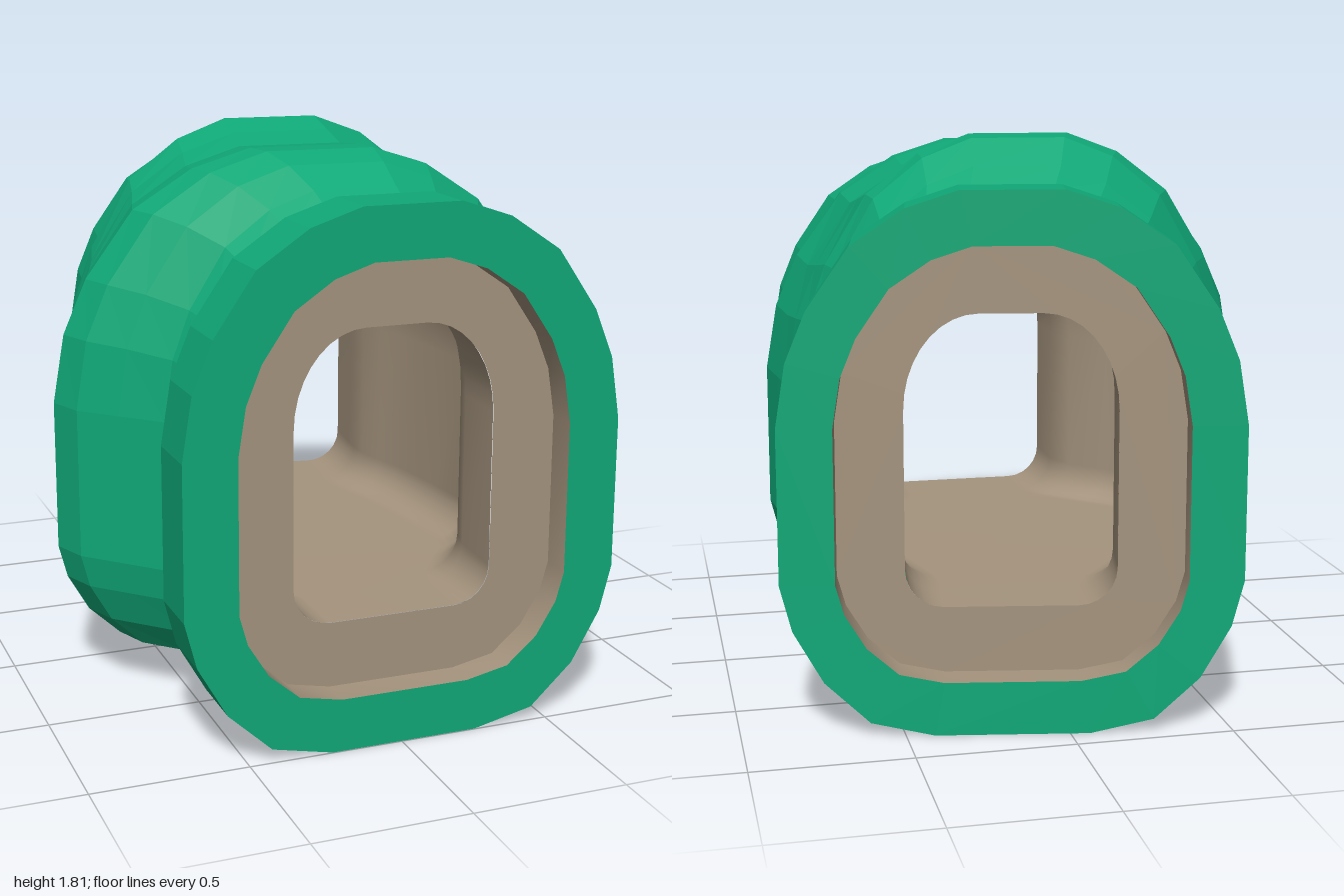
import * as THREE from 'three';
import { toCreasedNormals } from 'three/addons/utils/BufferGeometryUtils.js';

// Mirror a right-hand half outline (bottom to top) into a closed loop
const mirror = (half) => [...half, ...half.slice().reverse().map(([x, y]) => [-x, y])];

// Faceted arch outline: tight corners below, tall shoulders above
function archOutline(hw, bottom, top, corner) {
  const low = [[1, 0], [0.58, 0.09], [0.28, 0.36], [0.08, 0.7], [0, 1]];
  const high = [[1, 0], [0.955, 0.28], [0.865, 0.5], [0.68, 0.77], [0.45, 0.925], [0.22, 1]];
  return mirror([
    ...low.map(([d, s]) => [hw - corner * d, bottom + (0.485 - bottom) * s]),
    ...high.map(([u, t]) => [hw * u, 0.97 + (top - 0.97) * t]),
  ]);
}

// Smooth rounded outline for the passage
function holeOutline(hw, bottom, top) {
  const half = [];
  const r = 0.12, rx = hw * 0.7, ry = top - 1;
  for (let i = 0; i <= 6; i++) {
    const a = (i / 6) * Math.PI / 2;
    half.push([hw - r + r * Math.sin(a), bottom + r - r * Math.cos(a)]);
  }
  for (let i = 0; i <= 9; i++) {
    const a = (i / 9) * Math.PI / 2;
    half.push([hw - rx + rx * Math.cos(a), 1 + ry * Math.sin(a)]);
  }
  return mirror(half);
}

// Skin between closed rings running from +z to -z
function loft(rings, inward = false) {
  const n = rings[0].length, index = [];
  for (let i = 0; i < rings.length - 1; i++) {
    for (let j = 0; j < n; j++) {
      const a = i * n + j, b = i * n + (j + 1) % n, c = a + n, d = b + n;
      if (inward) index.push(a, b, c, b, d, c);
      else index.push(a, c, b, b, c, d);
    }
  }
  const geo = new THREE.BufferGeometry();
  geo.setAttribute('position', new THREE.Float32BufferAttribute(rings.flat(2), 3));
  geo.setIndex(index);
  geo.computeVertexNormals();
  return geo;
}

const atZ = (outline, z) => outline.map(([x, y]) => [x, y, z]);

// Place an outline in the upright plane through a left and a right point
function place(outline, [x0, z0, x1, z1]) {
  const len = Math.hypot(x1 - x0, z1 - z0);
  const cx = (x0 + x1) / 2, cz = (z0 + z1) / 2;
  return outline.map(([x, y]) => [cx + x * (x1 - x0) / len, y, cz + x * (z1 - z0) / len]);
}

const halfWidth = ([x0, z0, x1, z1]) => Math.hypot(x1 - x0, z1 - z0) / 2;

// Cross-sections of the bent body: x and z at one side, x and z at the other, top height
const SECTIONS = [
  [-0.57, 0.82, 0.59, 0.82, 1.57],
  [-0.57, 0.67, 0.60, 0.68, 1.60],
  [-0.615, 0.55, 0.63, 0.59, 1.665],
  [-0.73, 0.43, 0.71, 0.48, 1.73],
  [-0.835, 0.32, 0.78, 0.40, 1.765],
  [-0.88, 0.20, 0.805, 0.31, 1.765],
  [-0.81, 0.00, 0.785, 0.09, 1.745],
  [-0.765, -0.12, 0.77, -0.05, 1.775],
  [-0.73, -0.24, 0.75, -0.18, 1.81],
  [-0.66, -0.35, 0.725, -0.27, 1.80],
  [-0.58, -0.46, 0.70, -0.38, 1.715],
  [-0.51, -0.55, 0.70, -0.46, 1.65],
  [-0.46, -0.65, 0.71, -0.53, 1.61],
  [-0.425, -0.82, 0.72, -0.62, 1.57],
];

export function createModel() {
  const green = new THREE.MeshStandardMaterial({ color: 0x10a877 });
  green.name = 'shellGreen';
  green.flatShading = true;
  const tan = new THREE.MeshStandardMaterial({ color: 0xa5947e });
  tan.name = 'liningTan';

  const model = new THREE.Group();
  model.name = 'bentTunnelSection';
  const add = (parent, name, geo, mat) => {
    const mesh = new THREE.Mesh(geo, mat);
    mesh.name = name;
    parent.add(mesh);
  };

  // Faceted outer body
  const bodyRings = SECTIONS.map((s) => place(archOutline(halfWidth(s), 0.13, s[4], 0.34), s));
  add(model, 'outerBody', loft(bodyRings), green);

  // Smooth passage, a constant wall thickness inside the body
  const passage = [
    [-0.57, 0.89, 0.59, 0.89, 1.57],
    ...SECTIONS.slice(1, -1),
    [-0.414, -0.878, 0.728, -0.676, 1.57],
  ];
  const passageRings = passage.map((s) =>
    place(holeOutline(halfWidth(s) - 0.25, 0.38, s[4] - 0.27), s));
  add(model, 'passageLining', loft(passageRings, true), tan);

  // End collars with a recessed face around the passage
  const outer = archOutline(0.71, 0, 1.68, 0.47);
  const opening = archOutline(0.54, 0.17, 1.515, 0.33);
  const inner = archOutline(0.5, 0.25, 1.45, 0.3);
  const toPoints = (o) => o.map(([x, y]) => new THREE.Vector2(x, y));

  function collar(name) {
    const group = new THREE.Group();
    group.name = name;
    const rim = loft([atZ(opening, 0.205), atZ(outer, 0.205), atZ(outer, 0), atZ(inner, 0)]);
    add(group, 'collarRim', rim, green);

    const wall = loft([atZ(opening, 0.205), atZ(opening, 0.1)], true);
    add(group, 'recessWall', toCreasedNormals(wall, 0.6), tan);

    const face = new THREE.Shape(toPoints(opening));
    face.holes.push(new THREE.Path(toPoints(holeOutline(0.33, 0.38, 1.3))));
    const faceGeo = new THREE.ShapeGeometry(face);
    faceGeo.translate(0, 0, 0.1);
    add(group, 'recessFace', faceGeo, tan);

    model.add(group);
    return group;
  }

  collar('frontCollar').position.set(0.01, 0, 0.793);

  const back = collar('backCollar');
  back.position.set(0.14, 0, -0.678);
  back.rotation.y = THREE.MathUtils.degToRad(170);

  return model;
}
